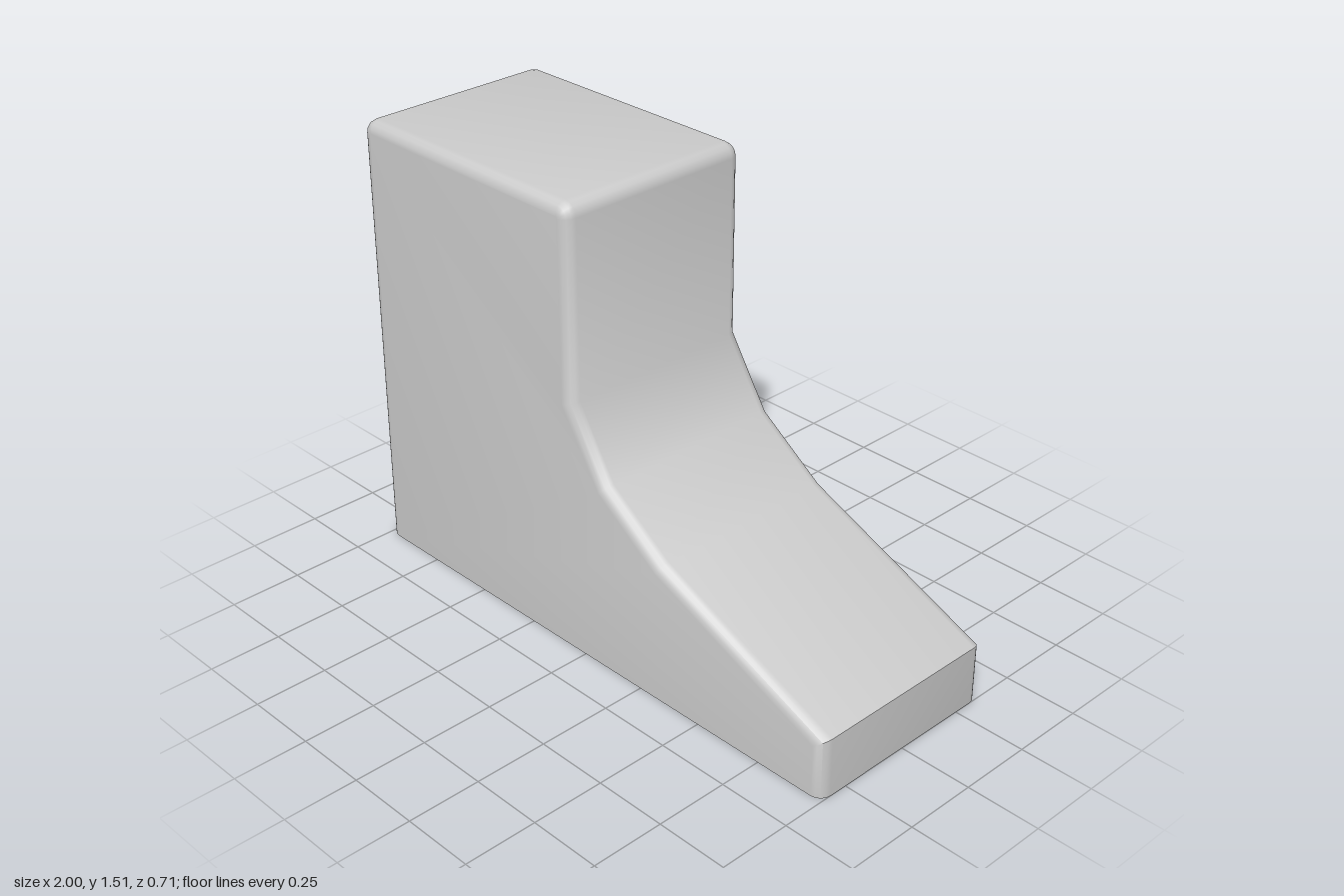
import * as THREE from 'three';
import { toCreasedNormals } from 'three/addons/utils/BufferGeometryUtils.js';

const HALF_DEPTH = 0.355, BEVEL = 0.04, STEPS = 4;

// Side outline from the toe, over the top, down to the heel; open at the floor
function outline() {
  const pts = [[1, 0], [1, 0.205], [0.335, 0.485], [0.1, 0.65], [-0.045, 0.875]];
  const r = 0.045, top = 1.515;
  for (const [cx, start] of [[-0.045 - r, 0], [-1 + r, Math.PI / 2]]) {
    for (let k = 0; k <= STEPS; k++) {
      const a = start + (k / STEPS) * Math.PI / 2;
      pts.push([cx + r * Math.cos(a), top - r + r * Math.sin(a)]);
    }
  }
  pts.push([-1, 0]);
  return pts.map(([x, y]) => new THREE.Vector2(x, y));
}

// Move the outline inward by d with mitred corners; the ends stay on the floor
function inset(pts, d) {
  const normal = i => {
    const v = pts[i + 1].clone().sub(pts[i]).normalize();
    return new THREE.Vector2(v.y, -v.x);
  };
  const last = pts.length - 1;
  return pts.map((p, i) => {
    const a = normal(Math.max(i - 1, 0)), b = normal(Math.min(i, last - 1));
    const m = a.clone().add(b).divideScalar(1 + a.dot(b));
    return p.clone().addScaledVector(m, -d);
  });
}

function shellGeometry() {
  const base = outline(), n = base.length;
  const rings = [];
  for (const side of [1, -1]) {
    for (let k = 0; k <= STEPS; k++) {
      const a = ((side > 0 ? k : STEPS - k) / STEPS) * Math.PI / 2;
      rings.push({
        pts: inset(base, BEVEL * (1 - Math.sin(a))),
        z: side * (HALF_DEPTH - BEVEL * (1 - Math.cos(a))),
      });
    }
  }
  const pos = [], index = [];
  for (const { pts, z } of rings) for (const p of pts) pos.push(p.x, p.y, z);

  // Wrapped surface with rounded side edges
  for (let j = 0; j < rings.length - 1; j++) {
    for (let i = 0; i < n - 1; i++) {
      const a = j * n + i, b = a + n;
      index.push(a, b, b + 1, a, b + 1, a + 1);
    }
  }
  // Flat front and back walls
  const end = (rings.length - 1) * n;
  for (const [a, b, c] of THREE.ShapeUtils.triangulateShape(rings[0].pts, [])) {
    index.push(a, b, c, end + a, end + c, end + b);
  }
  const geo = new THREE.BufferGeometry();
  geo.setAttribute('position', new THREE.Float32BufferAttribute(pos, 3));
  geo.setIndex(index);
  return toCreasedNormals(geo, 0.7);
}

export function createModel() {
  const group = new THREE.Group();
  group.name = 'bootShapedCover';
  const material = new THREE.MeshStandardMaterial({ color: 0xcccccc, side: THREE.DoubleSide });
  // Hollow shell, open underneath
  const shell = new THREE.Mesh(shellGeometry(), material);
  shell.name = 'shell';
  group.add(shell);
  return group;
}
